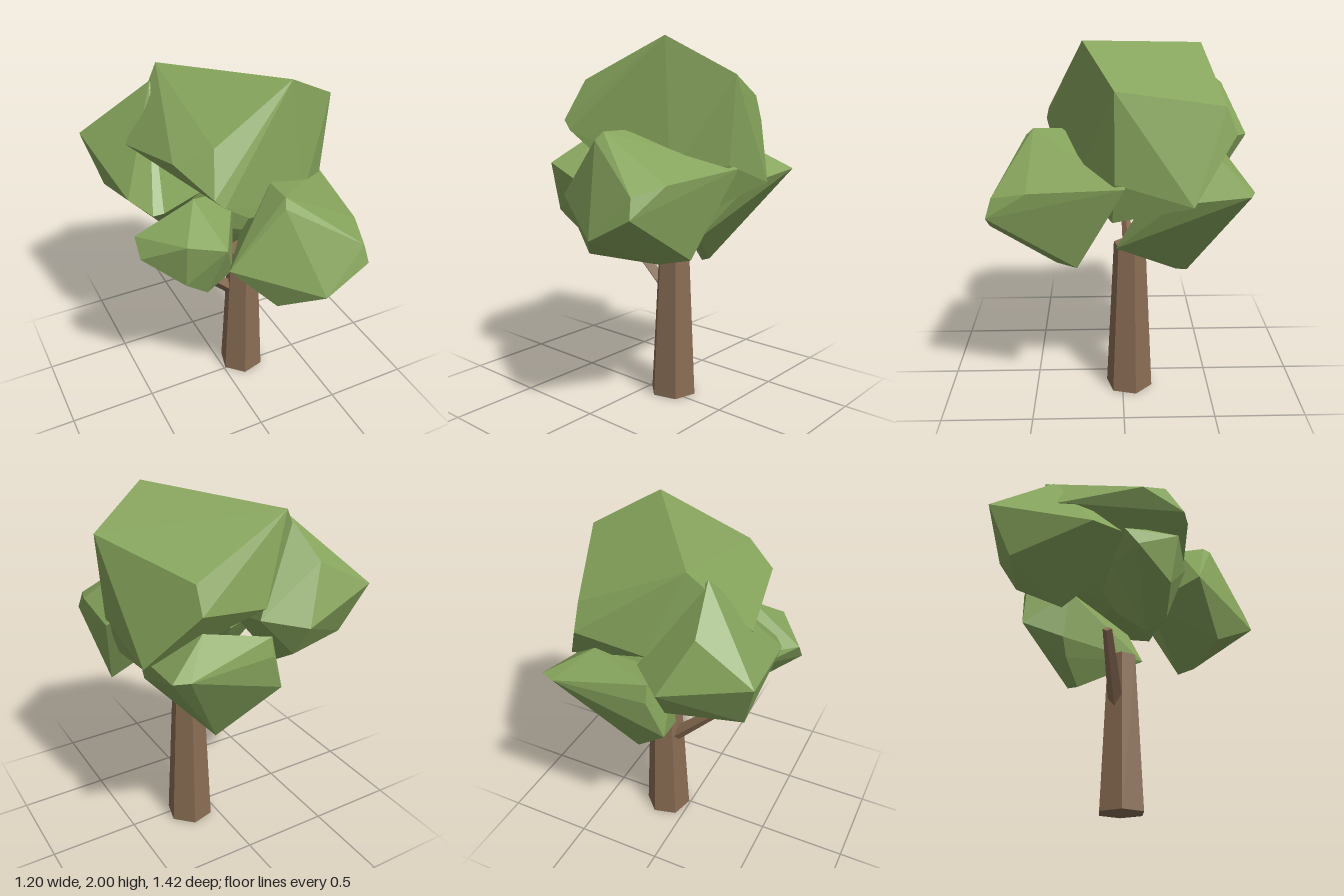
import * as THREE from 'three';
import { ConvexGeometry } from 'three/addons/geometries/ConvexGeometry.js';

const leaf = new THREE.MeshStandardMaterial({ color: 0x86a45c, flatShading: true });
const bark = new THREE.MeshStandardMaterial({ color: 0x886c53, flatShading: true });

// Faceted leaf clumps, each the convex hull of a few corner points
const clumps = {
  crownTop: [
    [0.27, 2, 0.2], [-0.19, 1.94, -0.44], [0.6, 1.81, 0.05], [0.35, 1.69, -0.51],
    [0.35, 1.55, -0.57], [0.55, 1.23, -0.34], [-0.2, 1.78, 0.3], [-0.25, 1.57, 0.41],
    [-0.37, 1.69, 0.2], [-0.45, 1.6, -0.26], [-0.02, 1.5, -0.54], [-0.04, 1.39, 0.37],
    [0.34, 1.3, 0.24], [0.5, 1.14, 0.06], [0.1, 1.2, -0.1], [-0.25, 1.42, -0.2],
    [0.57, 1.36, 0.05], [-0.2, 1.52, 0.42],
  ],
  frontClump: [
    [0.23, 1.03, 0.71], [0.48, 1.16, 0.69], [0.46, 1.26, 0.66], [0.08, 1.49, 0.51],
    [0.1, 1.53, 0.47], [0.1, 1.53, 0.32], [-0.2, 1.18, 0.47], [0.52, 1.3, 0.48],
    [0.59, 1.34, 0], [0.45, 1.38, 0], [0.48, 0.89, 0.24], [0.36, 0.87, 0.35],
    [0.05, 0.91, 0.53], [0.02, 1.15, 0.15],
  ],
  rightClump: [
    [-0.57, 1.3, 0.14], [-0.57, 1.2, 0.21], [-0.39, 1.33, 0.39], [-0.17, 1.24, 0.39],
    [-0.27, 1.47, 0.2], [-0.22, 0.88, 0.17], [-0.05, 0.95, 0.2], [0, 1.4, 0.1],
    [-0.4, 1.2, 0.03], [-0.1, 1.05, 0], [-0.38, 1.06, 0.34], [-0.24, 0.93, 0.29],
    [-0.1, 1.2, -0.1],
  ],
  backRightClump: [
    [-0.6, 1.54, -0.61], [-0.16, 1.43, -0.71], [-0.3, 1.7, -0.58], [-0.26, 1.88, -0.36],
    [0.02, 1.45, -0.55], [-0.53, 1.4, -0.04], [-0.45, 1.36, 0.1], [-0.39, 1.36, 0.1],
    [-0.52, 1.25, -0.5], [-0.27, 1.04, -0.28], [-0.15, 1.25, -0.6], [-0.1, 1.3, -0.1],
  ],
  backLeftClump: [
    [0.54, 1.28, -0.62], [0.46, 1.28, -0.65], [0.3, 1.42, -0.48], [0.5, 1.23, -0.25],
    [-0.04, 1.26, -0.59], [-0.04, 1.36, -0.57], [-0.12, 1.05, -0.56], [0.15, 0.73, -0.36],
    [0.14, 0.73, -0.3], [0, 0.86, -0.33], [0.37, 0.95, 0.04], [0.45, 1.18, -0.07],
    [-0.07, 0.96, -0.33], [-0.05, 1.25, -0.3],
  ],
};

export function createModel() {
  const tree = new THREE.Group();
  tree.name = 'tree';

  const add = (name, geometry, material) => {
    const mesh = new THREE.Mesh(geometry, material);
    mesh.name = name;
    tree.add(mesh);
    return mesh;
  };

  for (const [name, points] of Object.entries(clumps)) {
    add(name, new ConvexGeometry(points.map((p) => new THREE.Vector3(...p))), leaf);
  }

  // Tapered six-sided trunk
  add('trunk', new THREE.CylinderGeometry(0.09, 0.135, 0.89, 6, 1, false, Math.PI / 4), bark)
    .position.set(0.14, 0.445, -0.04);

  // Slanted side branch
  const from = new THREE.Vector3(0.1, 0.58, -0.06);
  const to = new THREE.Vector3(-0.24, 0.9, -0.03);
  const along = to.clone().sub(from);
  const branch = add('branch', new THREE.CylinderGeometry(0.026, 0.044, along.length(), 4), bark);
  branch.position.copy(from).add(to).multiplyScalar(0.5);
  branch.quaternion.setFromUnitVectors(new THREE.Vector3(0, 1, 0), along.normalize());

  return tree;
}
